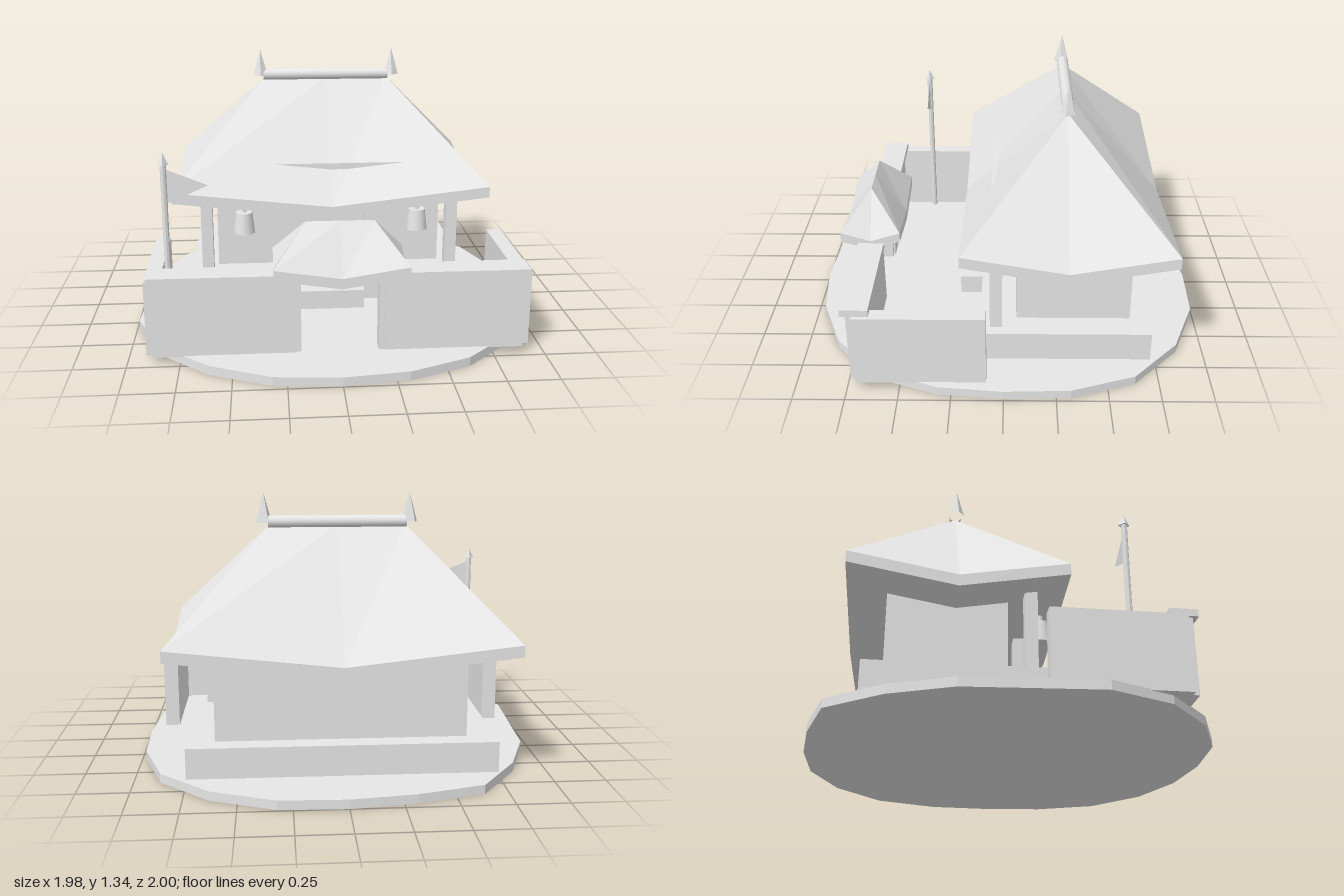
import * as THREE from 'three';

export function createModel() {
  const model = new THREE.Group();
  const grey = new THREE.MeshStandardMaterial({ color: 0xe7e7e7 });
  grey.name = 'light grey';
  const flat = grey.clone();
  flat.flatShading = true;
  const twoSided = flat.clone();
  twoSided.side = THREE.DoubleSide;

  const add = (name, geometry, material = flat) => {
    const mesh = new THREE.Mesh(geometry, material);
    mesh.name = name;
    model.add(mesh);
    return mesh;
  };
  // Box given by its minimum and maximum on each axis
  const box = (name, x0, x1, y0, y1, z0, z1) =>
    add(name, new THREE.BoxGeometry(x1 - x0, y1 - y0, z1 - z0)).position
      .set((x0 + x1) / 2, (y0 + y1) / 2, (z0 + z1) / 2);
  const round = (name, rTop, rBottom, y0, y1, x, z, sides, material = flat, open = false) => {
    const mesh = add(name, new THREE.CylinderGeometry(rTop, rBottom, y1 - y0, sides, 1, open), material);
    mesh.position.set(x, (y0 + y1) / 2, z);
    return mesh;
  };

  // Hipped roof: eaves dip in the middle of every side, shallow closed soffit
  function roof(w, d, ridge, yCorner, yMid, yTop, thick, ySoffit) {
    const v = (x, y, z) => new THREE.Vector3(x, y, z);
    const loop = [[1, 0], [1, -1], [0, -1], [-1, -1], [-1, 0], [-1, 1], [0, 1], [1, 1]];
    const eave = loop.map(([i, j]) => v(i * w, i && j ? yCorner : yMid, j * d));
    const top = loop.map(([i]) => v(i * ridge, yTop, 0));
    const low = eave.map(p => v(p.x, p.y - thick, p.z));
    const centre = v(0, ySoffit, 0);
    const points = [];
    for (let a = 0; a < 8; a++) {
      const b = (a + 1) % 8;
      points.push(eave[a], eave[b], top[b]);
      if (top[a].x !== top[b].x) points.push(eave[a], top[b], top[a]);
      points.push(low[a], low[b], eave[b], low[a], eave[b], eave[a]);
      points.push(low[b], low[a], centre);
    }
    const geometry = new THREE.BufferGeometry().setFromPoints(points);
    geometry.computeVertexNormals();
    return geometry;
  }

  // Uneven round ground slab
  const radii = [1, 1.04, 1.07, 1.08, 1.03, 0.99, 1.01, 1.05, 1.04, 1.01,
    0.995, 1.02, 1.04, 1.06, 1.04, 0.97, 1, 1.03, 1.08, 1.01];
  const outline = radii.map((r, i) => {
    const a = i * Math.PI / 10;
    return new THREE.Vector2(r * Math.sin(a), r * Math.cos(a));
  });
  const slab = new THREE.ExtrudeGeometry(new THREE.Shape(outline), { depth: 0.045, bevelEnabled: false });
  slab.rotateX(-Math.PI / 2);
  add('ground', slab);

  // Platform, entrance step and hall
  box('platform', -0.735, 0.745, 0.03, 0.195, -0.72, 0.12);
  box('step', -0.165, 0.175, 0.02, 0.145, 0.12, 0.24);
  box('hall', -0.595, 0.612, 0.195, 0.6, -0.625, -0.06);
  box('door', -0.115, 0.12, 0.195, 0.58, -0.026, -0.01);
  for (const x of [-0.645, -0.21, 0.225, 0.66])
    box('porchPost', x - 0.03, x + 0.03, 0.195, 0.61, 0.01, 0.07);
  box('porchBeam', -0.5, 0.52, 0.74, 0.79, 0.01, 0.065);

  // Main roof with ridge pole and finials
  add('mainRoof', roof(0.82, 0.508, 0.335, 0.685, 0.595, 1.185, 0.056, 0.53)).position.set(0.008, 0, -0.303);
  const ridgePole = round('ridgePole', 0.03, 0.03, 0, 0.68, 0, 0, 16, grey, true);
  ridgePole.rotation.z = Math.PI / 2;
  ridgePole.position.set(0.008, 1.203, -0.303);
  for (const x of [-0.348, 0.368])
    round('finial', 0, 0.041, 1.2, 1.343, x, -0.3, 5, flat, true);

  // Hanging bells
  for (const x of [-0.447, 0.463]) {
    round('bell', 0.043, 0.056, 0.44, 0.55, x, 0.115, 16, grey);
    round('bellKnob', 0.014, 0.014, 0.55, 0.59, x, 0.115, 8);
  }

  // Courtyard walls, caps and gate posts on both sides
  for (const s of [-1, 1]) {
    const mirrored = (name, a, b, ...rest) => {
      const p = 0.008 + s * a, q = 0.008 + s * b;
      box(name, Math.min(p, q), Math.max(p, q), ...rest);
    };
    mirrored('sideWall', 0.842, 0.916, 0.04, 0.41, 0.083, 0.705);
    mirrored('frontWall', 0.21, 0.88, 0.04, 0.41, 0.645, 0.735);
    mirrored('frontWallCap', 0.2, 0.897, 0.41, 0.445, 0.625, 0.758);
    mirrored('gatePost', 0.185, 0.222, 0.04, 0.46, 0.655, 0.728);
  }
  add('gateRoof', roof(0.312, 0.152, 0.16, 0.505, 0.457, 0.685, 0.05, 0.378)).position.set(0.008, 0, 0.692);

  // Banner on a spear pole
  round('bannerPole', 0.015, 0.015, 0.04, 0.91, -0.815, 0.463, 8);
  round('bannerTip', 0, 0.027, 0.905, 0.965, -0.815, 0.463, 4);
  const pennant = new THREE.Shape([[-0.81, 0.71], [-0.605, 0.8], [-0.81, 0.885]]
    .map(p => new THREE.Vector2(...p)));
  add('banner', new THREE.ShapeGeometry(pennant), twoSided).position.z = 0.463;

  // Low eight-sided stone in the yard
  round('yardStone', 0.113, 0.113, 0.04, 0.13, 0.488, 0.32, 8);

  return model;
}
